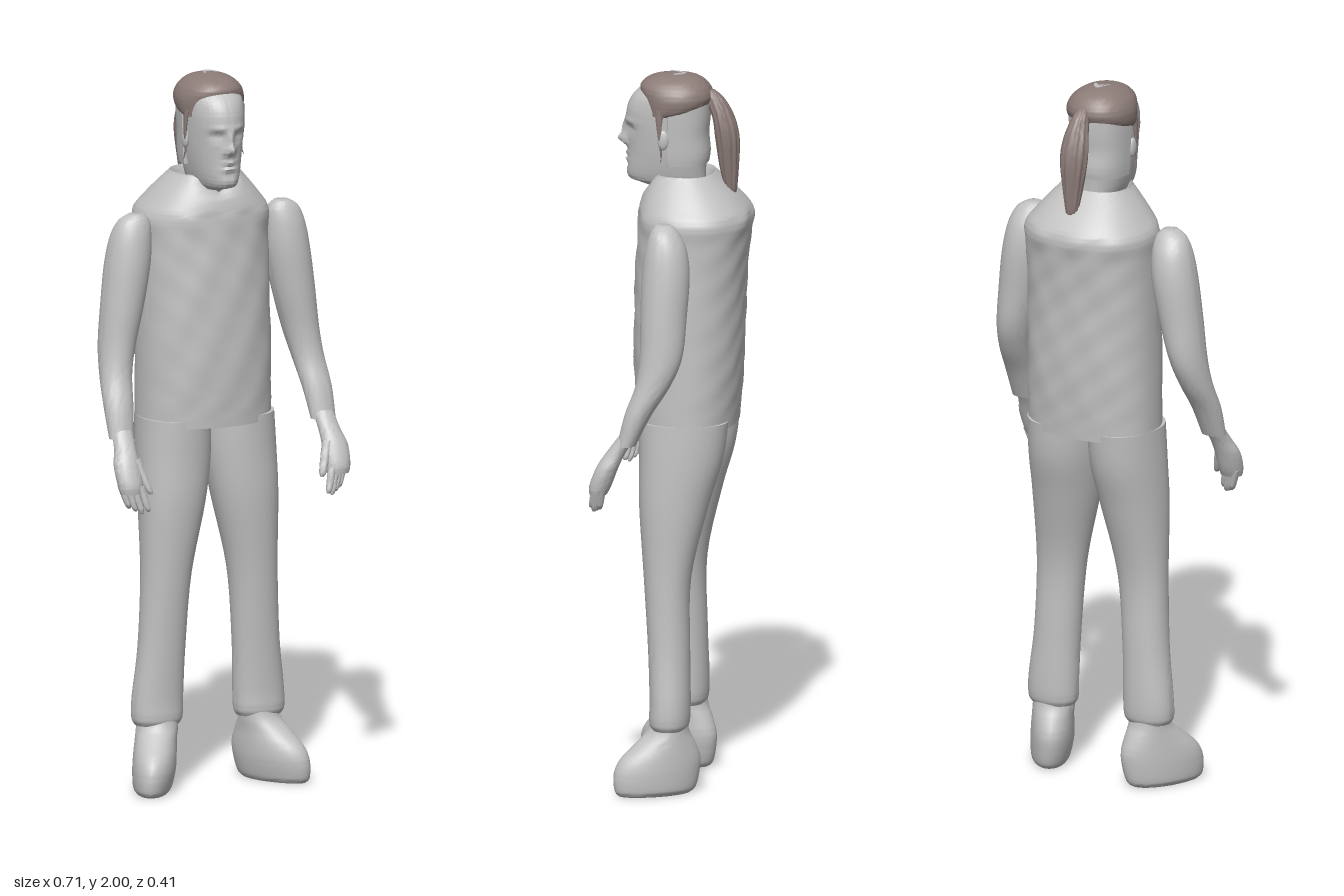
import * as THREE from 'three';
import { toCreasedNormals } from 'three/addons/utils/BufferGeometryUtils.js';

const grey = new THREE.MeshStandardMaterial({ color: 0xc2c2c2 });
grey.name = 'plain grey';
const brown = new THREE.MeshStandardMaterial({ color: 0x8c7c78 });
brown.name = 'hair brown';

const spline = (a, b, c, d, t) =>
  0.5 * (2 * b + (c - a) * t + (2 * a - 5 * b + 4 * c - d) * t * t + (3 * b - a - 3 * c + d) * t * t * t);

// Smooth body through horizontal rings, listed from the bottom up.
// Each ring: [y, centre x, centre z, half width, front depth, back depth]
function loft(name, material, rings, { side = 1, segs = 32, steps = 5, power = 1, yaw = 0, warp = null } = {}) {
  const rows = [];
  for (let i = 0; i < rings.length - 1; i++) {
    const r = [rings[Math.max(i - 1, 0)], rings[i], rings[i + 1], rings[Math.min(i + 2, rings.length - 1)]];
    for (let s = 0; s < steps; s++) rows.push(rings[0].map((_, k) => spline(r[0][k], r[1][k], r[2][k], r[3][k], s / steps)));
  }
  rows.push(rings[rings.length - 1]);
  const pos = [], index = [];
  const bend = (v) => Math.sign(v) * Math.abs(v) ** power;
  for (const [y, cx, cz, rx, zf, zb] of rows) {
    for (let j = 0; j < segs; j++) {
      const a = (j / segs) * Math.PI * 2;
      const dx = rx * bend(Math.cos(a));
      const dz = bend(Math.sin(a)) * (Math.sin(a) > 0 ? zf : zb);
      const t = yaw * side;
      const p = new THREE.Vector3(cx * side + dx * Math.cos(t) + dz * Math.sin(t), y, cz - dx * Math.sin(t) + dz * Math.cos(t));
      if (warp) warp(p, a, cz);
      pos.push(p.x, p.y, p.z);
    }
  }
  for (let i = 0; i < rows.length - 1; i++) {
    for (let j = 0; j < segs; j++) {
      const a = i * segs + j, b = i * segs + ((j + 1) % segs);
      index.push(a, a + segs, b, b, a + segs, b + segs);
    }
  }
  // end caps
  const last = (rows.length - 1) * segs, n = rows.length * segs;
  for (const row of [rows[0], rows[rows.length - 1]]) pos.push(row[1] * side, row[0], row[2]);
  for (let j = 0; j < segs; j++) {
    const k = (j + 1) % segs;
    index.push(n, j, k, n + 1, last + k, last + j);
  }
  const geo = new THREE.BufferGeometry();
  geo.setAttribute('position', new THREE.Float32BufferAttribute(pos, 3));
  geo.setIndex(index);
  const mesh = new THREE.Mesh(toCreasedNormals(geo, 0.9), material);
  mesh.name = name;
  return mesh;
}

// Tapered round digit between two points, lower point first.
function digit(name, side, [x0, y0, z0], [x1, y1, z1], r) {
  const at = (t, s) => [y0 + (y1 - y0) * t, x0 + (x1 - x0) * t, z0 + (z1 - z0) * t, r * s, r * s, r * s];
  return loft(name, grey, [at(0, 0.35), at(0.12, 0.8), at(0.5, 1), at(1, 1.1)], { side, segs: 10, steps: 3 });
}

const bump = (p, x, y, w, h) => Math.exp(-(((Math.abs(p.x) - x) / w) ** 2) - ((p.y - y) / h) ** 2);

// Nose, brows, eyes, lips and chin pressed into the front of the head.
function faceRule(p) {
  if (p.z < 0.05) return;
  p.z += 0.026 * bump(p, 0, 1.806, 0.013, 0.015) + 0.016 * bump(p, 0, 1.835, 0.01, 0.025)
    + 0.006 * bump(p, 0.016, 1.8, 0.007, 0.009)
    - 0.014 * bump(p, 0.033, 1.843, 0.015, 0.011) + 0.007 * bump(p, 0.033, 1.843, 0.009, 0.006)
    + 0.005 * bump(p, 0.03, 1.866, 0.022, 0.008)
    + 0.007 * bump(p, 0, 1.768, 0.02, 0.006) - 0.005 * bump(p, 0, 1.76, 0.026, 0.003)
    + 0.006 * bump(p, 0, 1.752, 0.017, 0.005) - 0.005 * bump(p, 0, 1.735, 0.022, 0.007);
}

// Open collar cut to a point at the throat, with faint cloth ripples.
function vestRule(p) {
  if (p.z > 0 && p.y > 1.66) p.y -= 0.05 * Math.max(0, 1 - Math.abs(p.x) / 0.07) * Math.min(1, (p.y - 1.66) / 0.06);
  if (p.y > 1.06 && p.y < 1.62) p.z += 0.0025 * Math.sin(p.x * 55 + p.y * 18) * Math.sin(p.y * 46);
}

export function createModel() {
  const model = new THREE.Group();
  model.name = 'standing figure';

  // torso
  model.add(loft('vest', grey, [
    [1.02, 0, -0.04, 0.192, 0.148, 0.13], [1.2, 0, -0.04, 0.19, 0.155, 0.143],
    [1.4, 0, -0.045, 0.187, 0.158, 0.145], [1.54, 0, -0.05, 0.186, 0.156, 0.152],
    [1.605, 0, -0.05, 0.188, 0.153, 0.16], [1.65, 0, -0.045, 0.158, 0.14, 0.137],
    [1.715, 0, -0.035, 0.102, 0.105, 0.08], [1.72, 0, -0.03, 0.095, 0.095, 0.074],
    [1.69, 0, -0.03, 0.085, 0.08, 0.065],
  ], { segs: 64, steps: 8, power: 0.88, warp: vestRule }));

  // head
  const head = new THREE.Group();
  head.name = 'head';
  model.add(head);
  head.add(loft('faceAndNeck', grey, [
    [1.6, 0, -0.01, 0.065, 0.06, 0.07], [1.67, 0, -0.01, 0.06, 0.065, 0.07],
    [1.69, 0, 0, 0.052, 0.105, 0.08], [1.7, 0, 0, 0.056, 0.133, 0.08],
    [1.725, 0, 0, 0.064, 0.14, 0.08], [1.77, 0, 0, 0.073, 0.136, 0.083],
    [1.82, 0, 0, 0.079, 0.136, 0.085], [1.87, 0, 0, 0.082, 0.141, 0.086],
    [1.91, 0, 0, 0.083, 0.135, 0.086], [1.945, 0, 0, 0.078, 0.113, 0.08],
    [1.975, 0, 0, 0.055, 0.07, 0.055], [1.99, 0, 0, 0.01, 0.01, 0.01],
  ], { segs: 96, steps: 8, power: 0.95, warp: faceRule }));
  head.add(loft('backOfHead', grey, [
    [1.75, 0, 0.012, 0.08, 0.003, 0.1], [1.78, 0, 0.012, 0.083, 0.003, 0.104],
    [1.83, 0, 0.012, 0.085, 0.003, 0.1], [1.88, 0, 0.012, 0.087, 0.003, 0.104],
    [1.925, 0, 0.012, 0.088, 0.003, 0.105],
  ], { power: 0.8 }));

  // hair
  head.add(loft('hairCap', brown, [
    [1.89, 0, 0.03, 0.087, 0.05, 0.06], [1.905, 0, 0.01, 0.093, 0.077, 0.09],
    [1.935, 0, 0, 0.095, 0.095, 0.1], [1.965, 0, 0, 0.083, 0.1, 0.09],
    [1.988, 0, 0, 0.055, 0.072, 0.062], [2.0, 0, 0, 0.012, 0.015, 0.015],
  ], { segs: 48, power: 0.92 }));
  head.add(loft('ponytail', brown, [
    [1.64, 0, -0.15, 0.004, 0.004, 0.004], [1.67, 0, -0.152, 0.016, 0.014, 0.014],
    [1.74, 0, -0.146, 0.028, 0.025, 0.026], [1.82, 0, -0.14, 0.038, 0.03, 0.034],
    [1.88, 0, -0.128, 0.034, 0.027, 0.032], [1.93, 0, -0.108, 0.022, 0.03, 0.025],
    [1.955, 0, -0.09, 0.014, 0.025, 0.015],
  ], {
    segs: 60, warp: (p, a, cz) => {
      const k = 1 + 0.07 * Math.cos(a * 11 + p.y * 9);
      p.x = p.x * k + 0.004;
      p.z = cz + (p.z - cz) * k;
    },
  }));
  // bare patch on the crown
  const arc = new THREE.Shape();
  arc.moveTo(-0.018, -0.016);
  arc.quadraticCurveTo(-0.008, 0.04, 0.012, 0.022);
  arc.quadraticCurveTo(0.024, 0.01, 0.023, -0.006);
  arc.quadraticCurveTo(0.004, 0.022, -0.018, -0.016);
  const patch = new THREE.Mesh(new THREE.ExtrudeGeometry(arc, { depth: 0.006, bevelEnabled: false }), grey);
  patch.name = 'crownPatch';
  patch.rotation.x = -Math.PI / 2;
  patch.position.y = 1.994;
  head.add(patch);

  for (const side of [1, -1]) {
    const word = side > 0 ? 'left' : 'right';
    const ear = new THREE.Mesh(new THREE.SphereGeometry(1, 16, 12), grey);
    ear.name = word + 'Ear';
    ear.scale.set(0.009, 0.028, 0.016);
    ear.position.set(side * 0.083, 1.825, 0.025);
    head.add(ear);
    head.add(loft(word + 'HairStrand', brown, [
      [1.765, 0.093, 0.03, 0.001, 0.001, 0.001], [1.79, 0.085, 0.03, 0.003, 0.003, 0.003],
      [1.85, 0.088, 0.035, 0.004, 0.006, 0.006], [1.91, 0.084, 0.035, 0.006, 0.014, 0.014],
    ], { side, segs: 8 }));

    // arm
    model.add(loft(word + 'Arm', grey, [
      [1.015, 0.307, 0.088, 0.036, 0.026, 0.026], [1.1, 0.302, 0.058, 0.042, 0.036, 0.038],
      [1.18, 0.292, 0.02, 0.045, 0.046, 0.05], [1.26, 0.279, 0, 0.051, 0.056, 0.062],
      [1.37, 0.26, -0.006, 0.06, 0.063, 0.065], [1.48, 0.243, -0.01, 0.064, 0.066, 0.066],
      [1.555, 0.234, -0.008, 0.058, 0.056, 0.058], [1.6, 0.227, -0.003, 0.045, 0.038, 0.04],
      [1.62, 0.222, 0, 0.022, 0.022, 0.022],
    ], { side }));

    // hand
    const hand = new THREE.Group();
    hand.name = word + 'Hand';
    model.add(hand);
    hand.add(loft('palm', grey, [
      [0.875, 0.314, 0.168, 0.032, 0.022, 0.026], [0.9, 0.316, 0.163, 0.036, 0.027, 0.034],
      [0.95, 0.317, 0.142, 0.037, 0.029, 0.032], [0.99, 0.311, 0.118, 0.031, 0.028, 0.026],
      [1.04, 0.305, 0.085, 0.029, 0.024, 0.022],
    ], { side, segs: 24 }));
    for (let i = 0; i < 4; i++) {
      hand.add(digit('finger', side, [0.274 + i * 0.015, 0.818 + Math.abs(i - 1) * 0.007, 0.192 - i * 0.01],
        [0.293 + i * 0.015, 0.895, 0.176 - i * 0.008], 0.0105));
    }
    hand.add(digit('thumb', side, [0.261, 0.87, 0.178], [0.292, 0.965, 0.145], 0.0125));

    // leg
    model.add(loft(word + 'Leg', grey, [
      [0.18, 0.155, -0.005, 0.064, 0.047, 0.048], [0.2, 0.155, -0.005, 0.073, 0.055, 0.056],
      [0.26, 0.153, -0.005, 0.073, 0.054, 0.058], [0.4, 0.143, 0, 0.067, 0.055, 0.06],
      [0.6, 0.131, 0, 0.071, 0.069, 0.061], [0.8, 0.111, 0, 0.092, 0.085, 0.107],
      [0.93, 0.1, -0.01, 0.1, 0.097, 0.135], [1.04, 0.097, -0.02, 0.098, 0.11, 0.14],
    ], { side, power: 0.95 }));

    // foot, toes turned out
    model.add(loft(word + 'Foot', grey, [
      [0, 0.182, 0.025, 0.045, 0.11, 0.095], [0.015, 0.182, 0.025, 0.054, 0.122, 0.112],
      [0.06, 0.178, 0.025, 0.06, 0.125, 0.122], [0.1, 0.172, 0.018, 0.06, 0.115, 0.115],
      [0.14, 0.163, 0.005, 0.058, 0.085, 0.085], [0.18, 0.155, -0.003, 0.058, 0.055, 0.055],
      [0.24, 0.155, -0.005, 0.056, 0.045, 0.045],
    ], { side, yaw: 0.5 }));
  }
  return model;
}
